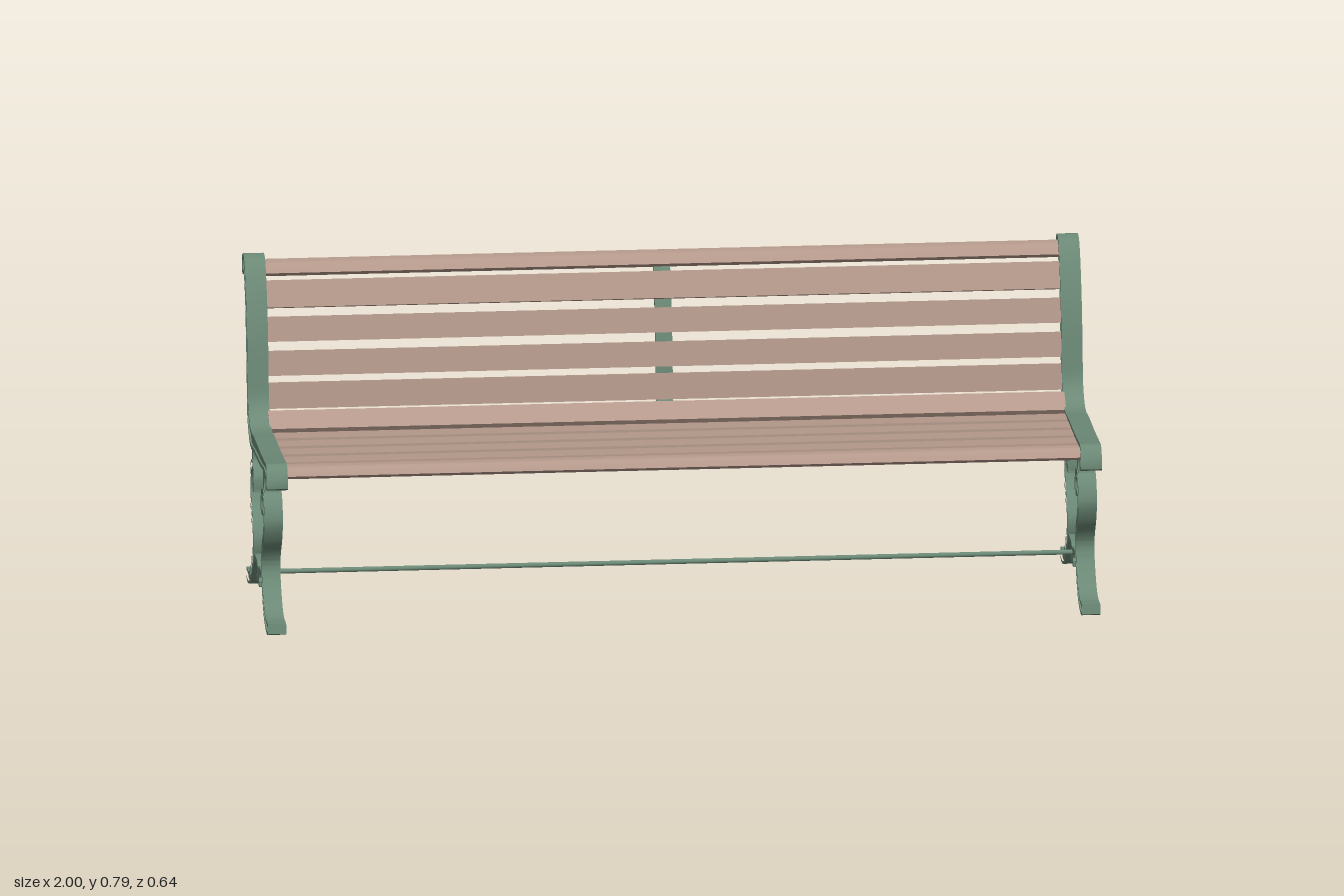
import * as THREE from 'three';
import { toCreasedNormals } from 'three/addons/utils/BufferGeometryUtils.js';

const iron = new THREE.MeshStandardMaterial({ color: 0x6b8875 });
iron.name = 'green iron';
const wood = new THREE.MeshStandardMaterial({ color: 0xb3988a });
wood.name = 'brown wood';

const MID = 0.0365; // z of the mirror line between front and rear legs

// Unit normal to the left of a sampled curve at index i
function normalAt(p, i, closed) {
  const n = p.length;
  const a = closed ? p[(i + n - 1) % n] : p[Math.max(i - 1, 0)];
  const b = closed ? p[(i + 1) % n] : p[Math.min(i + 1, n - 1)];
  const l = Math.hypot(b.x - a.x, b.y - a.y) || 1;
  return [-(b.y - a.y) / l, (b.x - a.x) / l];
}

// Outline of a band along a centre line of [z, y, halfWidth]
function band(pts, trim = 0, t0 = 0, t1 = 1) {
  const curve = new THREE.CatmullRomCurve3(pts.map(p => new THREE.Vector3(...p)), false, 'centripetal');
  const n = (pts.length - 1) * 4;
  const c = Array.from({ length: n + 1 }, (_, i) => curve.getPoint(t0 + (t1 - t0) * i / n));
  const side = s => c.map((p, i) => {
    const [nx, ny] = normalAt(c, i, false), w = s * Math.max(p.z - trim, 0.001);
    return new THREE.Vector2(p.x + nx * w, p.y + ny * w);
  });
  return [...side(-1), ...side(1).reverse()];
}

const mirrorZ = outline => outline.map(p => new THREE.Vector2(2 * MID - p.x, p.y));

// Extrude a (z, y) outline along x, centred on x
function extrude(name, outline, width, x, material, hole) {
  const shape = new THREE.Shape(outline);
  if (hole) shape.holes.push(new THREE.Path(hole));
  let geo = new THREE.ExtrudeGeometry(shape, { depth: width, bevelEnabled: false });
  geo.translate(0, 0, -width / 2);
  geo.rotateY(-Math.PI / 2);
  geo = toCreasedNormals(geo, 0.6);
  const mesh = new THREE.Mesh(geo, material);
  mesh.name = name;
  mesh.position.x = x;
  return mesh;
}

// Casting with a raised rim and a slightly sunken panel on both faces
function casting(name, outer, inner, width, x) {
  const g = new THREE.Group();
  g.name = name;
  g.add(extrude(name + 'Rim', outer, width, x, iron, inner));
  g.add(extrude(name + 'Panel', inner, width - 0.008, x, iron));
  return g;
}

// Seat rail and back post in one outline
const railPoints = [
  [0.32, 0.368], [0.312, 0.402], [0.293, 0.421], [0.264, 0.42], [0.139, 0.4135], [0, 0.41], [-0.101, 0.407],
  [-0.143, 0.432], [-0.161, 0.461], [-0.17, 0.518], [-0.184, 0.611], [-0.209, 0.695], [-0.236, 0.753],
  [-0.261, 0.782], [-0.289, 0.789], [-0.309, 0.782], [-0.318, 0.761], [-0.306, 0.735], [-0.28, 0.745],
  [-0.26, 0.732], [-0.236, 0.684], [-0.216, 0.601], [-0.197, 0.507], [-0.189, 0.43], [-0.17, 0.401],
  [-0.114, 0.364], [-0.007, 0.371], [0.15, 0.38], [0.27, 0.39], [0.282, 0.38], [0.278, 0.358], [0.305, 0.361],
];
const railOuter = new THREE.CatmullRomCurve3(
  railPoints.map(p => new THREE.Vector3(p[0], p[1], 0)), true, 'centripetal').getPoints(96).slice(0, -1);
const railInner = railOuter.map((p, i) => {
  const [nx, ny] = normalAt(railOuter, i, true);
  return new THREE.Vector2(p.x + nx * 0.009, p.y + ny * 0.009);
});

// Leg parts, measured in z from the mirror line
const fromMid = pts => pts.map(([z, y, w]) => [z + MID, y, w]);
const legLine = fromMid([
  [0.1, 0.268, 0.012], [0.1, 0.295, 0.012], [0.1125, 0.3135, 0.012], [0.133, 0.32, 0.0125], [0.154, 0.309, 0.0135],
  [0.169, 0.284, 0.0135], [0.173, 0.257, 0.0135], [0.156, 0.218, 0.0135], [0.125, 0.18, 0.0135],
  [0.11, 0.149, 0.0135], [0.1125, 0.116, 0.0125], [0.127, 0.0865, 0.0125], [0.148, 0.059, 0.0135],
  [0.179, 0.032, 0.0145], [0.221, 0.0177, 0.0145], [0.252, 0.0165, 0.0155], [0.272, 0.02, 0.012],
]);
const barbLine = fromMid([[0.092, 0.27, 0.009], [0.119, 0.268, 0.008], [0.1375, 0.274, 0.003]]);
const braceLine = fromMid([
  [0.148, 0.053, 0.008], [0.119, 0.0865, 0.0125], [0.085, 0.103, 0.008], [0.06, 0.105, 0.006], [0.029, 0.103, 0.008],
  [0.0125, 0.093, 0.011], [0.009, 0.078, 0.01], [0.02, 0.067, 0.008], [0.036, 0.069, 0.006],
]);
const bracketLine = fromMid([
  [0.148, 0.386, 0.029], [0.144, 0.37, 0.0155], [0.1415, 0.349, 0.0115], [0.144, 0.325, 0.015],
]);

function endFrame(name, x) {
  const g = new THREE.Group();
  g.name = name;
  g.add(casting('seatAndBackRail', railOuter, railInner, 0.05, x));
  for (const [end, flip] of [['front', o => o], ['rear', mirrorZ]]) {
    g.add(casting(end + 'Leg', flip(band(legLine)), flip(band(legLine, 0.007, 0.015, 0.985)), 0.044, x));
    g.add(extrude(end + 'ScrollTip', flip(band(barbLine)), 0.042, x, iron));
    g.add(extrude(end + 'Brace', flip(band(braceLine)), 0.04, x, iron));
    g.add(extrude(end + 'Bracket', flip(band(bracketLine)), 0.04, x, iron));
  }
  return g;
}

export function createModel() {
  const bench = new THREE.Group();
  bench.name = 'bench';
  bench.add(endFrame('leftFrame', 0.975), endFrame('rightFrame', -0.975));

  const T = 0.008; // half thickness of a slat
  const slat = (name, pts) =>
    bench.add(extrude(name, band(pts.map(p => [...p, T])), 1.908, 0, wood));

  // Seat slats, the front one rolled over the edge
  for (let i = 0; i < 4; i++) {
    const z = -0.083 + i * 0.0825;
    slat('seatSlat', [[z, 0.394 + z * 0.025], [z + 0.059, 0.3955 + z * 0.025]]);
  }
  slat('frontSeatSlat', [[0.25, 0.403], [0.274, 0.402], [0.287, 0.386]]);

  // Back slats from the seat corner to the rolled top
  slat('cornerSlat', [[-0.105, 0.398], [-0.153, 0.431]]);
  slat('backSlat', [[-0.174, 0.436], [-0.182, 0.497]]);
  slat('backSlat', [[-0.184, 0.514], [-0.195, 0.572]]);
  slat('backSlat', [[-0.198, 0.594], [-0.212, 0.652]]);
  slat('backSlat', [[-0.219, 0.672], [-0.243, 0.733]]);
  slat('topSlat', [[-0.252, 0.745], [-0.268, 0.763], [-0.29, 0.767]]);

  // Centre strap under the seat and behind the back
  const strap = [
    [0.255, 0.386], [0.12, 0.383], [0, 0.38], [-0.1, 0.376], [-0.15, 0.4], [-0.188, 0.432],
    [-0.2, 0.52], [-0.217, 0.61], [-0.242, 0.692], [-0.268, 0.748],
  ].map(p => [...p, 0.0075]);
  bench.add(extrude('centreStrap', band(strap), 0.04, 0, iron));

  // Long iron bars under the seat
  for (const [z, y] of [[-0.096, 0.386], [0.24, 0.381]]) {
    const bar = new THREE.Mesh(new THREE.BoxGeometry(1.91, 0.012, 0.012), iron);
    bar.name = 'seatBar';
    bar.position.set(0, y, z);
    bench.add(bar);
  }

  // Tie rod between the end frames
  const rod = new THREE.Mesh(new THREE.CylinderGeometry(0.006, 0.006, 1.93, 12).rotateZ(Math.PI / 2), iron);
  rod.name = 'tieRod';
  rod.position.set(0, 0.09, MID);
  bench.add(rod);
  return bench;
}
